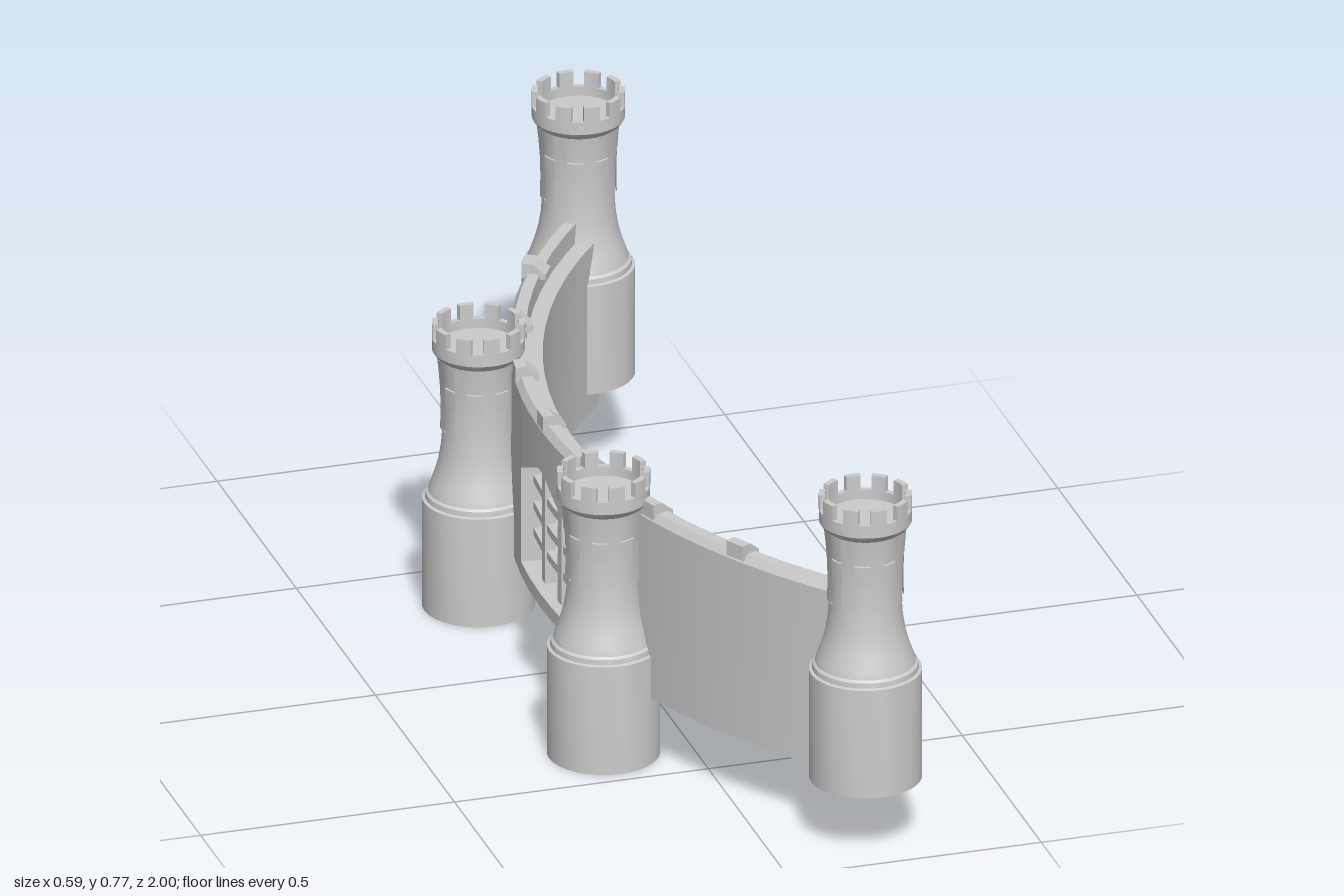
import * as THREE from 'three';
import { toCreasedNormals } from 'three/addons/utils/BufferGeometryUtils.js';

const R = 1.315, CX = 1.17; // radius and centre of the curved wall
const material = new THREE.MeshStandardMaterial({ color: 0xcccccc });
const openMaterial = new THREE.MeshStandardMaterial({ color: 0xcccccc, side: THREE.DoubleSide });

// Evenly spaced stations along z
function stations(z0, z1, step = 0.07) {
  const n = Math.max(1, Math.round((z1 - z0) / step));
  return Array.from({ length: n + 1 }, (_, i) => z0 + ((z1 - z0) * i) / n);
}

// Sweep a counter-clockwise [radius, y] section along the wall's arc, with end caps
function sweep(name, zs, section) {
  const pos = [], idx = [];
  const n = section(zs[0]).length, last = (zs.length - 1) * n;
  for (const z of zs) {
    const a = Math.asin(z / R);
    for (const [r, y] of section(z)) pos.push(CX - r * Math.cos(a), y, r * Math.sin(a));
  }
  for (let k = 0; k < zs.length - 1; k++) {
    for (let i = 0; i < n; i++) {
      const a = k * n + i, b = k * n + ((i + 1) % n);
      idx.push(a, a + n, b + n, a, b + n, b);
    }
  }
  const cap = (z) => THREE.ShapeUtils.triangulateShape(section(z).map((p) => new THREE.Vector2(...p)), []);
  for (const [a, b, c] of cap(zs[0])) idx.push(a, b, c);
  for (const [a, b, c] of cap(zs[zs.length - 1])) idx.push(last + a, last + c, last + b);
  const geo = new THREE.BufferGeometry();
  geo.setAttribute('position', new THREE.Float32BufferAttribute(pos, 3));
  geo.setIndex(idx);
  const mesh = new THREE.Mesh(toCreasedNormals(geo, 0.4), material);
  mesh.name = name;
  return mesh;
}

const block = (r0, r1, y0, y1) => () => [[r0, y0], [r1, y0], [r1, y1], [r0, y1]];

// Wall section with inner walkway ledge and outer parapet
const wallSection = (bottom) => [
  [1.28, bottom], [1.345, bottom], [1.345, 0.505], [1.335, 0.52],
  [1.312, 0.52], [1.312, 0.48], [1.28, 0.48],
];

// Underside of the pointed gate opening
const archY = (z) => 0.36 + 0.06 * Math.min(1, (0.145 - Math.abs(z)) / 0.13);

function createWall() {
  const wall = new THREE.Group();
  wall.name = 'curvedWall';
  const bottom = 0.137, sill = 0.165, half = 0.145;
  wall.add(sweep('wallFrontHalf', stations(half, 0.87), () => wallSection(bottom)));
  wall.add(sweep('wallBackHalf', stations(-0.86, -half), () => wallSection(bottom)));
  wall.add(sweep('gateSill', stations(-half, half), block(1.28, 1.345, bottom, sill)));
  wall.add(sweep('gateLintel', [-half, -0.08, -0.015, 0.015, 0.08, half], (z) => wallSection(archY(z))));

  // Portcullis
  for (const z of [-0.05, 0.05]) {
    wall.add(sweep('gateUpright', [z - 0.011, z + 0.011], (s) => block(1.302, 1.324, sill, archY(s) + 0.005)()));
  }
  for (const y of [0.225, 0.28, 0.335]) {
    wall.add(sweep('gateCrossbar', stations(-half, half), block(1.305, 1.321, y - 0.008, y + 0.008)));
  }

  // Parapet merlons with a sloped inner side
  for (const z of [-0.65, -0.43, -0.22, 0, 0.22, 0.43, 0.65]) {
    wall.add(sweep('wallMerlon', [z - 0.018, z + 0.018], () => [
      [1.3, 0.51], [1.346, 0.51], [1.346, 0.54], [1.325, 0.54], [1.3, 0.52],
    ]));
  }
  return wall;
}

// Revolved profile, whole or as a slice
function lathe(name, points, segments = 32, start = 0, length = Math.PI * 2) {
  const geo = new THREE.LatheGeometry(points.map((p) => new THREE.Vector2(...p)), segments, start, length);
  const mesh = new THREE.Mesh(toCreasedNormals(geo, 0.5), openMaterial);
  mesh.name = name;
  return mesh;
}

function createTower(name, x, y, z) {
  const tower = new THREE.Group();
  tower.name = name;
  tower.position.set(x, y, z);

  // Drum, stepped shoulder and waisted shaft; hollow underneath
  tower.add(lathe('towerBody', [
    [0.107, 0], [0.107, 0.223], [0.101, 0.225], [0.1, 0.235], [0.095, 0.239], [0.092, 0.25],
    [0.083, 0.275], [0.076, 0.3], [0.071, 0.33], [0.068, 0.37], [0.067, 0.41], [0.068, 0.45],
    [0.071, 0.49], [0.074, 0.515], [0.082, 0.521], [0.088, 0.53],
  ]));
  // Crown rim and recessed floor
  tower.add(lathe('towerCrown', [
    [0.088, 0.53], [0.088, 0.555], [0.076, 0.555], [0.076, 0.536], [0, 0.536],
  ]));

  // Raised strips and small pads around the shaft
  for (let i = 0; i < 8; i++) {
    const a = (i / 8) * Math.PI * 2;
    tower.add(lathe('shaftStrip', [
      [0.067, 0.368], [0.073, 0.37], [0.072, 0.41], [0.073, 0.45], [0.076, 0.49], [0.079, 0.517],
    ], 3, a - 0.17, 0.34));
    tower.add(lathe('shaftPad', [
      [0.066, 0.42], [0.07, 0.421], [0.072, 0.462], [0.067, 0.463],
    ], 3, a + 0.17, Math.PI / 4 - 0.34));
  }

  // Crown merlons, each a capped slice of a ring
  const width = 0.36;
  const profile = [[0.088, 0.553], [0.088, 0.585], [0.076, 0.585], [0.076, 0.553]];
  for (let i = 0; i < 10; i++) {
    const a = (i / 10) * Math.PI * 2;
    tower.add(lathe('towerMerlon', profile, 3, a - width / 2, width));
    for (const side of [-1, 1]) {
      const face = new THREE.Mesh(new THREE.PlaneGeometry(0.012, 0.032).translate(0.082, 0.569, 0), openMaterial);
      face.name = 'merlonSide';
      face.rotation.y = a + (side * width) / 2 - Math.PI / 2;
      tower.add(face);
    }
  }
  return tower;
}

export function createModel() {
  const model = new THREE.Group();
  model.name = 'castleWall';
  model.add(createWall());
  model.add(createTower('frontEndTower', 0.187, 0.136, 0.893));
  model.add(createTower('backEndTower', 0.178, 0.182, -0.893));
  model.add(createTower('frontGateTower', -0.165, 0, 0.367));
  model.add(createTower('backGateTower', -0.193, 0, -0.333));
  return model;
}
